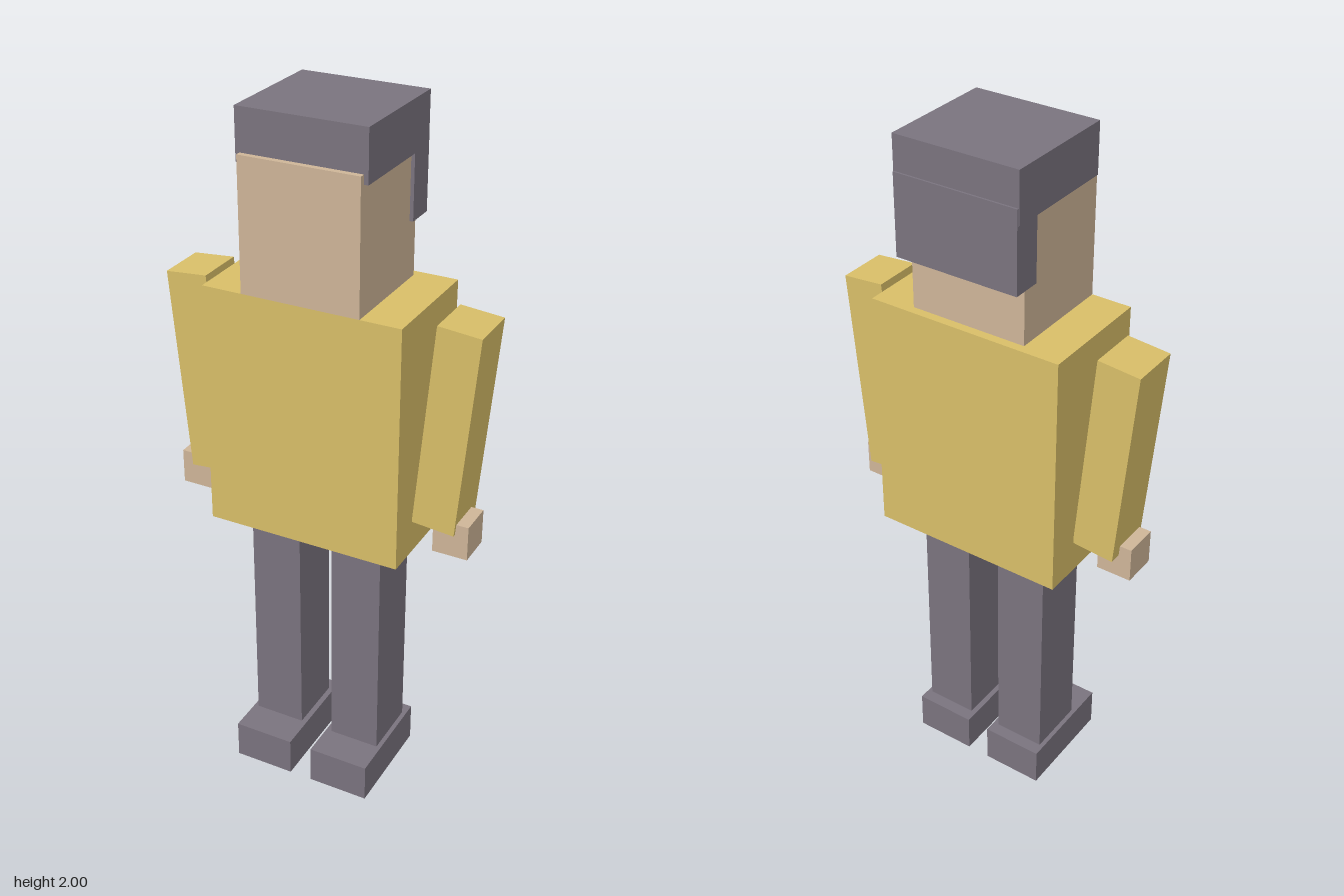
import * as THREE from 'three';

const material = (color) => new THREE.MeshStandardMaterial({ color });

export function createModel() {
  const model = new THREE.Group();
  model.name = 'blockFigure';
  const shirt = material(0xd8be68);
  const skin = material(0xceb598);
  const dark = material(0x7a737e);

  // Box given by its [min, max] extent along each axis
  function block(name, mat, [x0, x1], [y0, y1], [z0, z1]) {
    const mesh = new THREE.Mesh(new THREE.BoxGeometry(x1 - x0, y1 - y0, z1 - z0), mat);
    mesh.position.set((x0 + x1) / 2, (y0 + y1) / 2, (z0 + z1) / 2);
    mesh.name = name;
    model.add(mesh);
    return mesh;
  }

  // Body and head
  block('torso', shirt, [-0.283, 0.283], [0.82, 1.52], [-0.17, 0.168]);
  block('head', skin, [-0.168, 0.168], [1.52, 1.885], [-0.145, 0.168]);
  block('hairTop', dark, [-0.18, 0.18], [1.86, 2], [-0.188, 0.152]);
  block('hairBack', dark, [-0.178, 0.178], [1.68, 1.905], [-0.193, -0.11]);

  // Limbs, mirrored left and right
  for (const [side, s] of [['left', 1], ['right', -1]]) {
    const across = (a, b) => (s > 0 ? [a, b] : [-b, -a]);
    block(side + 'Leg', dark, across(0.05, 0.2), [0.1, 0.82], [-0.087, 0.09]);
    block(side + 'Foot', dark, across(0.034, 0.213), [0, 0.115], [-0.123, 0.191]);
    const arm = block(side + 'Arm', shirt, across(0.307, 0.429), [0.909, 1.496], [-0.072, 0.072]);
    arm.rotation.z = -s * 0.087;
    block(side + 'Hand', skin, across(0.34, 0.441), [0.836, 0.937], [-0.038, 0.063]);
  }
  return model;
}
